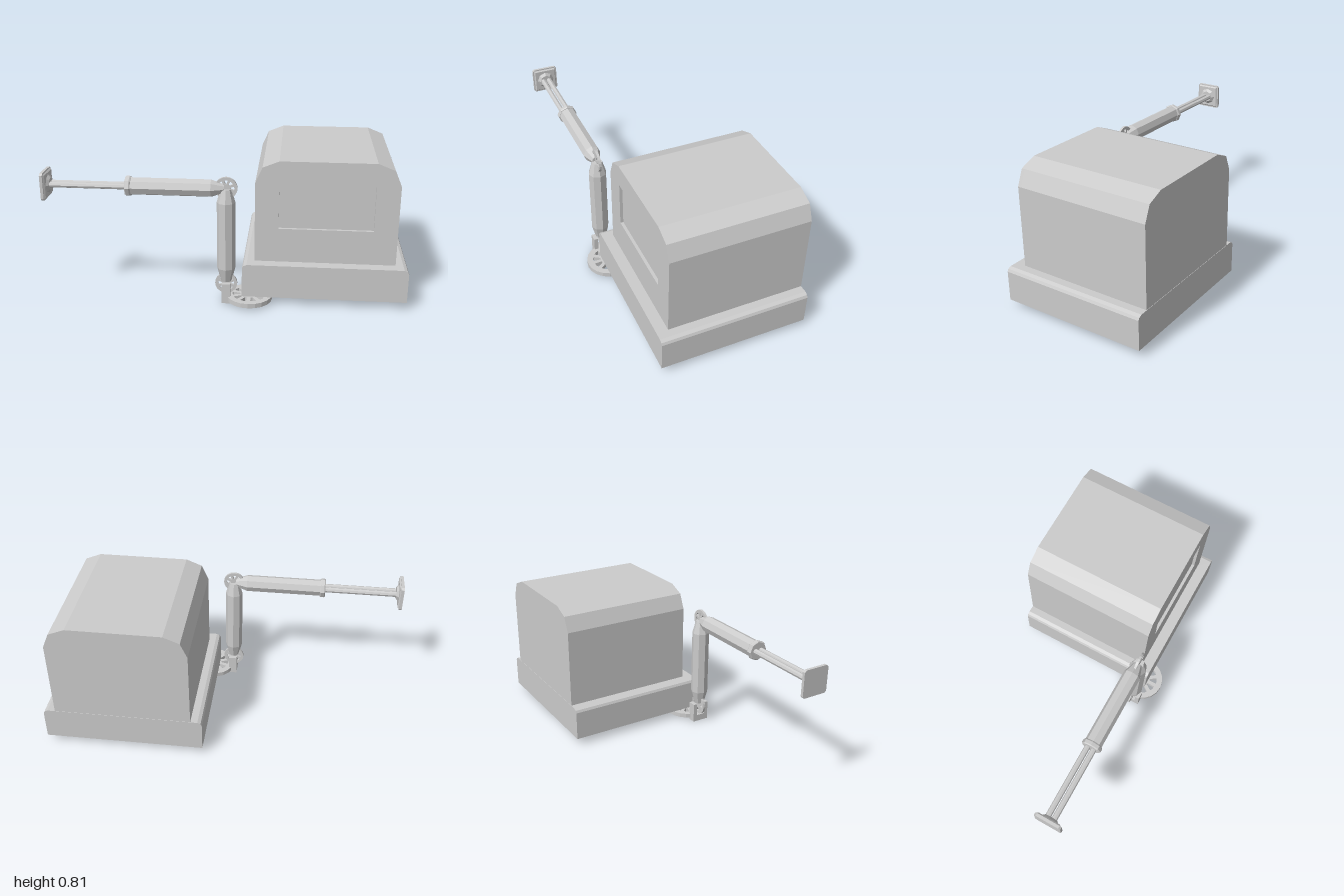
import * as THREE from 'three';

const grey = new THREE.MeshStandardMaterial({ color: 0xcccccc, flatShading: true });
const ARM_Z = 0.338;

function add(parent, name, geometry, x = 0, y = 0, z = 0) {
  const mesh = new THREE.Mesh(geometry, grey);
  mesh.name = name;
  mesh.position.set(x, y, z);
  parent.add(mesh);
  return mesh;
}

const points = (list) => list.map(([x, y]) => new THREE.Vector2(x, y));

// Box given by its two opposite corners
function box(parent, name, [x0, y0, z0], [x1, y1, z1]) {
  return add(parent, name, new THREE.BoxGeometry(x1 - x0, y1 - y0, z1 - z0),
    (x0 + x1) / 2, (y0 + y1) / 2, (z0 + z1) / 2);
}

// Outline in x/y drawn out from z0 to z1, with optional holes
function prism(outline, z0, z1, holes = []) {
  const shape = new THREE.Shape(points(outline));
  for (const hole of holes) shape.holes.push(new THREE.Path(points(hole)));
  const geo = new THREE.ExtrudeGeometry(shape, { depth: z1 - z0, bevelEnabled: false });
  return geo.translate(0, 0, z0);
}

const rect = (x0, y0, x1, y1) => [[x0, y0], [x1, y0], [x1, y1], [x0, y1]];

// Spoked wheel in the x/y plane, centred on its own origin
function wheel(radius, thickness, spokes = 8) {
  const shape = new THREE.Shape().absarc(0, 0, radius, 0, Math.PI * 2, false);
  const pitch = (Math.PI * 2) / spokes;
  for (let i = 0; i < spokes; i++) {
    const mid = i * pitch;
    const at = (r, a) => [r * Math.cos(mid + a), r * Math.sin(mid + a)];
    shape.holes.push(new THREE.Path(points([
      at(radius * 0.38, -pitch * 0.18), at(radius * 0.72, -pitch * 0.3), at(radius * 0.74, 0),
      at(radius * 0.72, pitch * 0.3), at(radius * 0.38, pitch * 0.18),
    ])));
  }
  const geo = new THREE.ExtrudeGeometry(shape, { depth: thickness, bevelEnabled: false, curveSegments: 10 });
  return geo.translate(0, 0, -thickness / 2);
}

// Eight-sided turned part along y, from [radius, height] pairs
const turned = (profile) => new THREE.LatheGeometry(points(profile), 8);

function buildHousing() {
  const housing = new THREE.Group();
  housing.name = 'housing';

  // Cabin with bevelled roof edges and a recessed front window
  const outline = [[0.155, 0.235], [0.932, 0.235], [0.932, 0.69], [0.895, 0.777],
    [0.803, 0.814], [0.283, 0.814], [0.193, 0.777], [0.155, 0.69]];
  add(housing, 'cabin', prism(outline, -0.462, 0.297));
  add(housing, 'windowFrame', prism(outline, 0.297, 0.314, [rect(0.285, 0.43, 0.802, 0.69)]));

  // Plinth with rounded-off top edges
  add(housing, 'plinth', prism([[0.09, 0.15], [1, 0.15], [1, 0.212], [0.993, 0.226], [0.975, 0.234],
    [0.115, 0.234], [0.097, 0.226], [0.09, 0.212]], -0.463, 0.377));

  // Hollow skirt below the plinth
  const skirt = prism(rect(0.09, -0.377, 1, 0.463), 0.042, 0.15, [rect(0.13, -0.337, 0.96, 0.423)]);
  add(housing, 'skirt', skirt.rotateX(-Math.PI / 2));

  // Slotted ledge along the inside of the front wall
  const slots = [0, 1, 2, 3].map((i) => rect(0.2 + i * 0.185, -0.33, 0.31 + i * 0.185, -0.27));
  const ledge = prism(rect(0.125, -0.342, 0.965, -0.25), 0.055, 0.1, slots);
  add(housing, 'slottedLedge', ledge.rotateX(-Math.PI / 2));
  return housing;
}

function buildArm() {
  const arm = new THREE.Group();
  arm.name = 'arm';

  // Pivot wheel lying flat, and the bracket beside it
  add(arm, 'pivotWheel', wheel(0.128, 0.026, 10).rotateX(Math.PI / 2), 0.13, 0.027, ARM_Z);
  box(arm, 'bracketFoot', [-0.022, 0, 0.287], [0.026, 0.04, 0.389]);
  for (const side of [-1, 1]) {
    const z = ARM_Z + side * 0.039;
    box(arm, 'bracketCheek', [-0.022, 0.04, z - 0.012], [0.026, 0.117, z + 0.012]);
  }

  // Spoked joints
  for (const y of [0.105, 0.665]) add(arm, 'jointWheel', wheel(0.062, 0.014), 0, y, ARM_Z);

  // Upright lower arm, tapered at both ends
  add(arm, 'lowerArm', turned([[0, 0.12], [0.03, 0.12], [0.051, 0.2], [0.051, 0.585], [0.03, 0.66], [0, 0.66]]),
    0, 0, ARM_Z);

  // Forearm reaching sideways: +y of this group points to -x
  const forearm = new THREE.Group();
  forearm.name = 'forearm';
  forearm.position.set(0, 0.662, ARM_Z);
  forearm.rotation.z = Math.PI / 2;
  arm.add(forearm);
  add(forearm, 'sleeve', turned([[0, 0.01], [0.024, 0.01], [0.049, 0.08], [0.049, 0.52], [0, 0.52]]));
  add(forearm, 'collar', turned([[0, 0.515], [0.052, 0.515], [0.057, 0.522], [0.057, 0.54], [0.052, 0.546], [0, 0.546]]));
  for (const side of [-1, 1]) {
    add(forearm, 'pushRod', new THREE.CylinderGeometry(0.016, 0.016, 0.44, 8), 0, 0.755, side * 0.018);
  }
  add(forearm, 'plateSocket', new THREE.CylinderGeometry(0.054, 0.036, 0.016, 8), 0, 0.97, 0);

  // Square hand plate with clipped corners, chamfered on its inner side
  const s = 0.077;
  const c = 0.066;
  const plate = prism([[-s, -c], [-c, -s], [c, -s], [s, -c], [s, c], [c, s], [-c, s], [-s, c]], 0, 0.016);
  add(forearm, 'handPlate', plate.rotateX(-Math.PI / 2), 0, 0.984, 0);
  const chamfer = new THREE.CylinderGeometry(0.07 * Math.SQRT2, 0.063 * Math.SQRT2, 0.008, 4);
  add(forearm, 'handPlateChamfer', chamfer.rotateY(Math.PI / 4), 0, 0.98, 0);
  return arm;
}

export function createModel() {
  const model = new THREE.Group();
  model.name = 'machine';
  model.add(buildHousing(), buildArm());
  return model;
}
